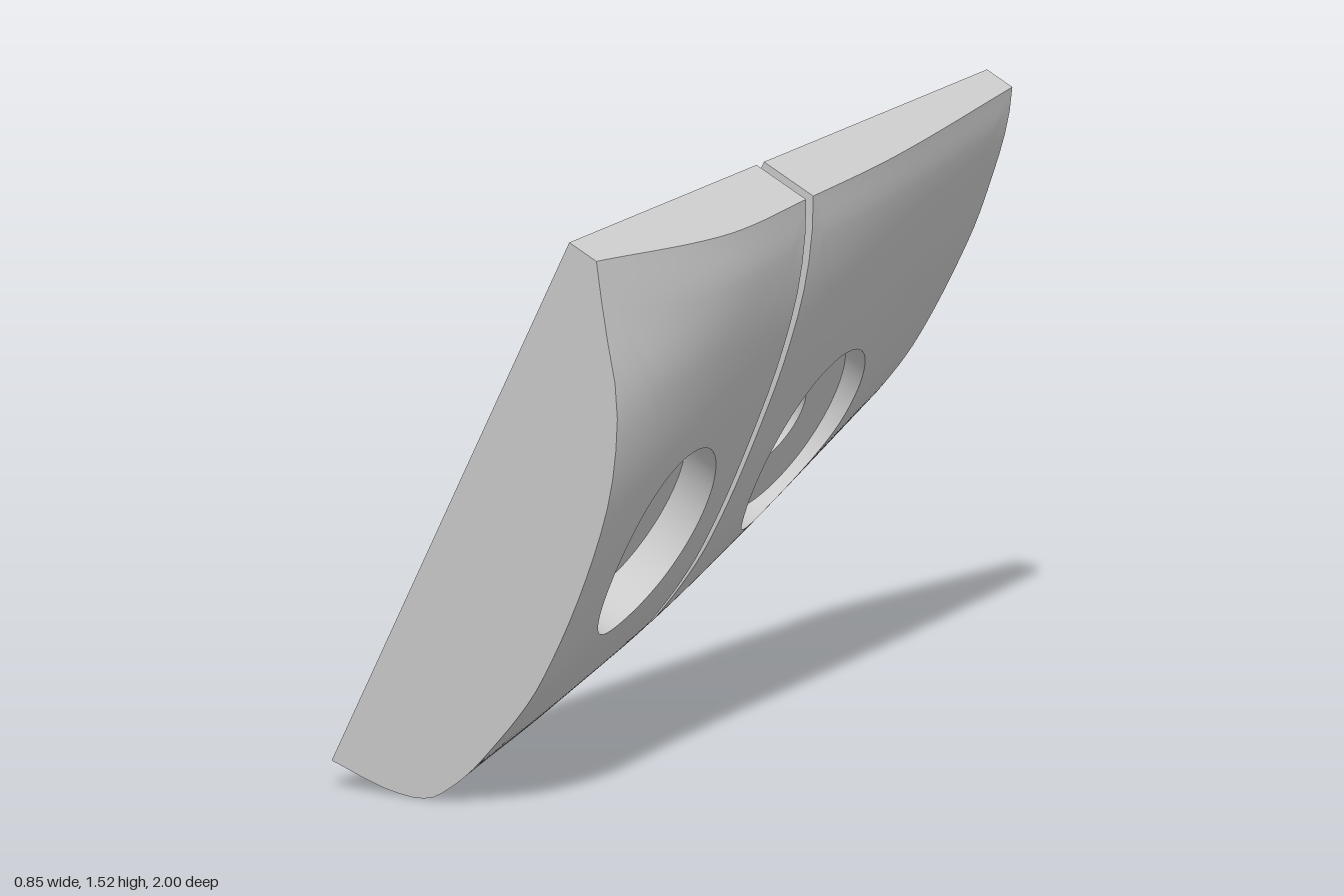
import * as THREE from 'three';
import { toCreasedNormals } from 'three/addons/utils/BufferGeometryUtils.js';

// Cubic interpolation through a few knots (xs ascending)
function smooth(xs, ys, x) {
  const n = xs.length - 1;
  let i = 0;
  while (i < n - 1 && x > xs[i + 1]) i++;
  const slope = k => {
    const a = Math.max(k - 1, 0), b = Math.min(k + 1, n);
    return (ys[b] - ys[a]) / (xs[b] - xs[a]);
  };
  const h = xs[i + 1] - xs[i];
  const u = THREE.MathUtils.clamp((x - xs[i]) / h, 0, 1);
  const u2 = u * u, u3 = u2 * u;
  return (2 * u3 - 3 * u2 + 1) * ys[i] + (u3 - 2 * u2 + u) * h * slope(i)
    + (3 * u2 - 2 * u3) * ys[i + 1] + (u3 - u2) * h * slope(i + 1);
}

// Plate frame: t runs up the flat back, w along the length, s is thickness
const stations = [-1, -0.35, 0.1, 0.5, 1];
const lowerEdge = [0.335, 0.108, -0.002, -0.064, -0.124];
const heights = [0, 0.012, 0.035, 0.07, 0.15, 0.33, 0.62, 0.8, 0.92, 1];
const thickness = [
  [0, 0.012, 0.03, 0.05, 0.085, 0.125, 0.14, 0.125, 0.105, 0.078],
  [0, 0.03, 0.08, 0.12, 0.18, 0.233, 0.23, 0.205, 0.175, 0.138],
  [0, 0.1, 0.16, 0.195, 0.245, 0.288, 0.28, 0.25, 0.205, 0.156],
  [0, 0.13, 0.215, 0.25, 0.29, 0.335, 0.325, 0.28, 0.225, 0.163],
  [0, 0.148, 0.255, 0.305, 0.358, 0.416, 0.392, 0.302, 0.17, 0.085],
];
const bottomAt = w => smooth(stations, lowerEdge, w);
const topAt = w => 1.422 + 0.014 * w;

function surface(t, w) {
  const T = THREE.MathUtils.clamp((t - bottomAt(w)) / (topAt(w) - bottomAt(w)), 0, 1);
  return Math.max(0, smooth(stations, thickness.map(row => smooth(heights, row, T)), w));
}

// Plate frame to model space, on the leaning back plane
function place(t, w, s) {
  const z = w - 0.012 * t;
  const c = 0.491 - 0.094 * z - s;
  return [0.455 * t - 0.89 * c, 0.89 * t + 0.455 * c, z - 0.1 * s];
}

// One plate with a bolt hole and counterbore, lofted as closed rings
function plate(name, w0, w1, ct, cw, floor) {
  const N = 36, RINGS = 30, HOLE = 0.112, BORE = 0.262;
  const outline = [];
  const edge = f => { for (let i = 0; i < N; i++) outline.push(f(i / N)); };
  const side = (w, k) => [THREE.MathUtils.lerp(bottomAt(w), topAt(w), k * k), w];
  const along = k => THREE.MathUtils.lerp(w0, w1, k);
  edge(k => [bottomAt(along(1 - k)), along(1 - k)]);
  edge(k => side(w0, k));
  edge(k => [topAt(along(k)), along(k)]);
  edge(k => side(w1, 1 - k));

  const circle = r => outline.map(([t, w]) => {
    const a = Math.atan2(w - cw, t - ct);
    return [ct + r * Math.cos(a), cw + r * Math.sin(a)];
  });
  const ring = (points, depth) => points.map(([t, w]) =>
    place(t, w, typeof depth === 'number' ? depth : depth(t, w)));
  const hole = circle(HOLE), bore = circle(BORE);

  // flat back, then the curved face from its outline in to the bore
  const rings = [ring(hole, 0), ring(outline, 0)];
  for (let j = 0; j <= RINGS; j++) {
    const f = (j / RINGS) ** 2;
    rings.push(ring(outline.map(([t, w], i) => [
      THREE.MathUtils.lerp(t, bore[i][0], f),
      THREE.MathUtils.lerp(w, bore[i][1], f)]), surface));
  }
  // counterbore wall and floor, then the bolt hole back to the start
  rings.push(ring(bore, floor), ring(hole, floor), ring(hole, 0));

  const pos = [];
  for (let j = 0; j < rings.length - 1; j++) {
    for (let i = 0; i < outline.length; i++) {
      const n = (i + 1) % outline.length;
      const a = rings[j][i], b = rings[j][n], c = rings[j + 1][n], d = rings[j + 1][i];
      pos.push(...a, ...b, ...c, ...a, ...c, ...d);
    }
  }
  const geometry = new THREE.BufferGeometry();
  geometry.setAttribute('position', new THREE.Float32BufferAttribute(pos, 3));
  const mesh = new THREE.Mesh(toCreasedNormals(geometry, 0.55),
    new THREE.MeshStandardMaterial({ color: 0xcccccc }));
  mesh.name = name;
  return mesh;
}

export function createModel() {
  const group = new THREE.Group();
  group.name = 'splitPlate';
  group.add(plate('frontPlate', 0.11, 0.996, 0.618, 0.502, 0.21));
  group.add(plate('rearPlate', -0.98, 0.075, 0.62, -0.34, 0.147));
  return group;
}
